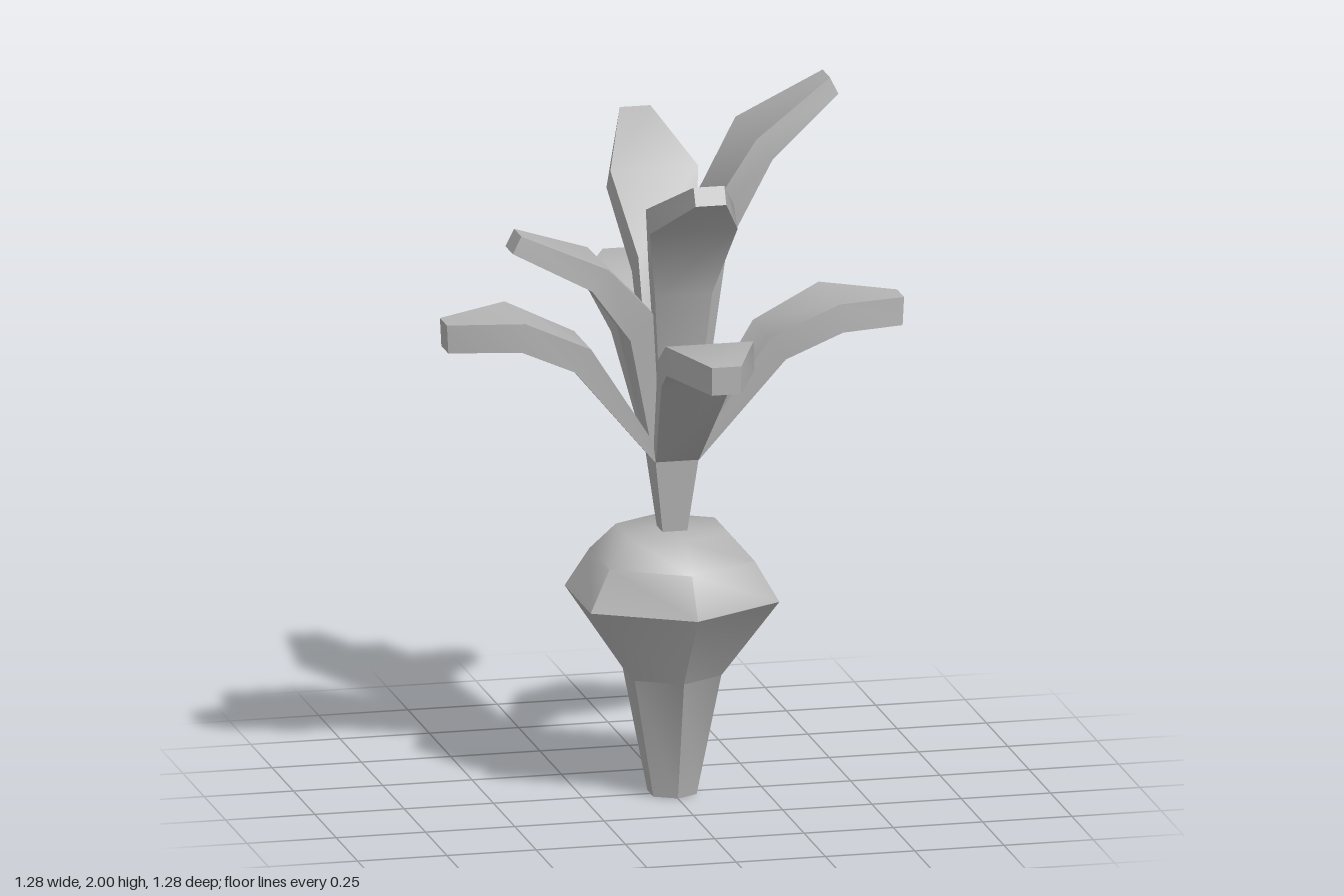
import * as THREE from 'three';
import { toCreasedNormals } from 'three/addons/utils/BufferGeometryUtils.js';

const CREASE = THREE.MathUtils.degToRad(50.5);
const BASE = 0.95; // height where the leaves leave the stem

// Each section: [inner out, inner y, outer out, outer y, half width]; the leaf grows towards +z
function leafGeometry(sections) {
  const pos = [], idx = [];
  for (const [iz, iy, oz, oy, w] of sections) {
    pos.push(-w, iy, iz, w, iy, iz, w, oy, oz, -w, oy, oz);
  }
  const last = (sections.length - 1) * 4;
  for (let j = 0; j < last; j += 4) {
    for (let k = 0; k < 4; k++) {
      const a = j + k, b = j + (k + 1) % 4;
      idx.push(b, a, a + 4, b, a + 4, b + 4);
    }
  }
  idx.push(0, 1, 2, 0, 2, 3);
  idx.push(last + 2, last + 1, last, last + 3, last + 2, last);
  const g = new THREE.BufferGeometry();
  g.setAttribute('position', new THREE.Float32BufferAttribute(pos, 3));
  g.setIndex(idx);
  return toCreasedNormals(g, CREASE);
}

// Upright leaf, stretched in height by s
function innerLeaf(s) {
  const y = (h) => BASE + h * s;
  return leafGeometry([
    [0.04, BASE, 0.06, BASE, 0.04],
    [0.06, y(0.66), 0.135, y(0.66) - 0.06, 0.08],
    [0.207, y(0.91), 0.253, y(0.91) - 0.058, 0.123],
    [0.432, y(1.05), 0.456, y(1.05) - 0.048, 0.043],
  ]);
}

// Spreading leaf with a drooping tip
function outerLeaf() {
  return leafGeometry([
    [0.03, BASE, 0.062, BASE, 0.06],
    [0.25, 1.29, 0.295, 1.228, 0.1],
    [0.44, 1.38, 0.45, 1.3, 0.123],
    [0.64, 1.367, 0.636, 1.288, 0.041],
  ]);
}

export function createModel() {
  const group = new THREE.Group();
  const grey = new THREE.MeshStandardMaterial({ color: 0xb4b4b4 });
  grey.name = 'plainGrey';

  const add = (name, geometry, turn = 0) => {
    const mesh = new THREE.Mesh(geometry, grey);
    mesh.name = name;
    mesh.rotation.y = turn;
    group.add(mesh);
  };

  // Six-sided root
  const profile = [[0, 0], [0.07, 0], [0.14, 0.34], [0.305, 0.56], [0.235, 0.67], [0.16, 0.745], [0, 0.745]]
    .map(([r, y]) => new THREE.Vector2(r, y));
  add('root', toCreasedNormals(new THREE.LatheGeometry(profile, 6), CREASE));

  // Square stem, widening upwards
  const stem = new THREE.CylinderGeometry(0.06 * Math.SQRT2, 0.034 * Math.SQRT2, 0.21, 4, 1);
  stem.rotateY(Math.PI / 4);
  stem.translate(0, 0.845, 0);
  add('stem', toCreasedNormals(stem, CREASE));

  // Leaves in order front, left, back, right
  [0.83, 1, 0.83, 0.624].forEach((s, i) => {
    const side = ['front', 'left', 'back', 'right'][i];
    add(side + 'InnerLeaf', innerLeaf(s), i * Math.PI / 2);
    add(side + 'OuterLeaf', outerLeaf(), i * Math.PI / 2);
  });
  return group;
}
